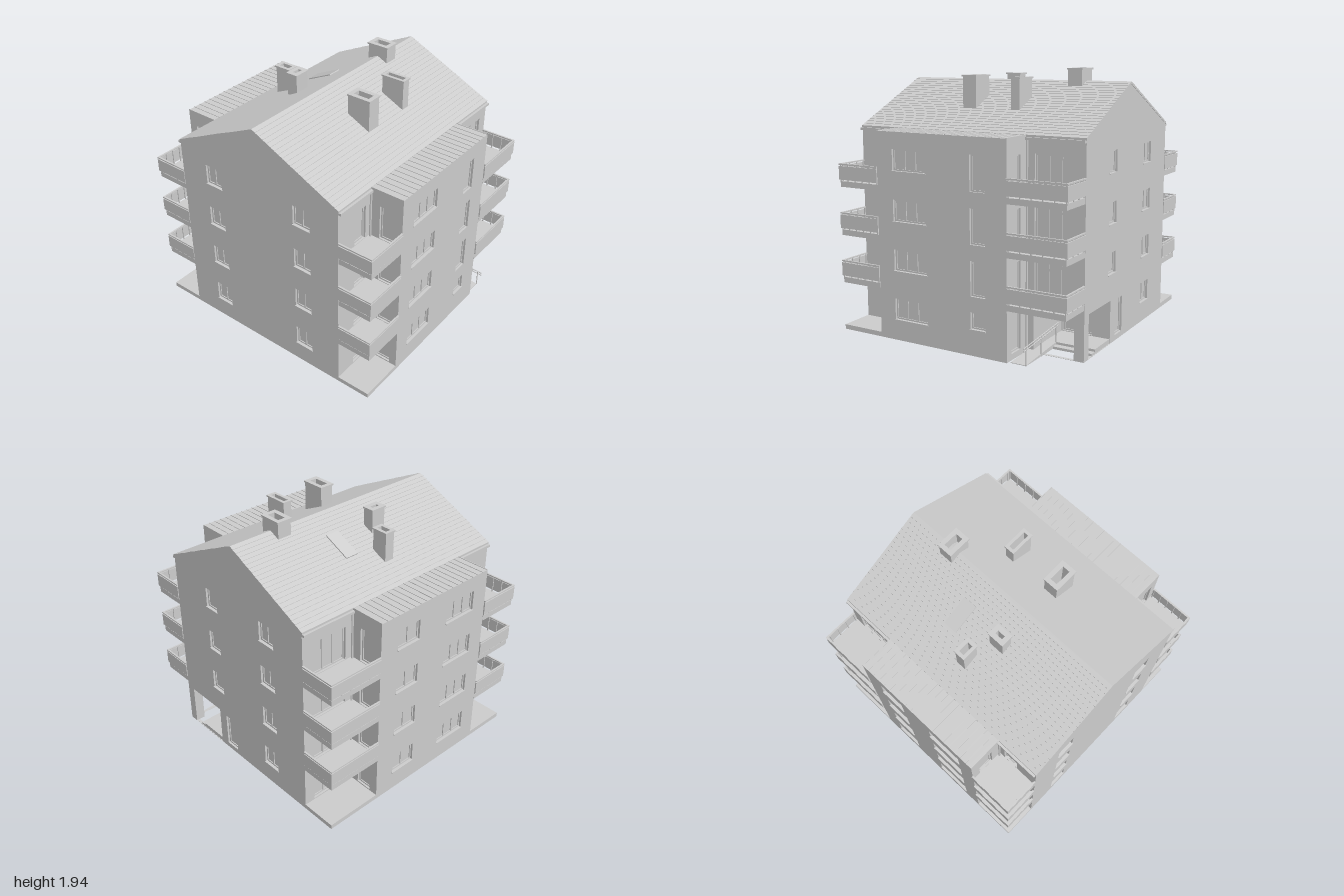
import * as THREE from 'three';

const MAT = new THREE.MeshStandardMaterial({ color: 0xcccccc, flatShading: true, side: THREE.DoubleSide });
const T = 0.025;                              // wall thickness
const XL = -0.93, XR = 0.925, ZM = 0.715;     // main block
const BL = -0.585, BR = 0.482;                // projecting bays
const ZF = 0.978, ZB = -0.988, EAVE = 1.51, RIDGE = 1.85;
const TOPS = [0.31, 0.67, 1.03, 1.39];        // window heads per storey
const FLOORS = [0.04, 0.405, 0.765, 1.125];

function add(parent, name, geometry) {
  const m = new THREE.Mesh(geometry, MAT);
  m.name = name;
  parent.add(m);
  return m;
}

// Box given by its minimum and maximum on each axis
function box(parent, name, x0, x1, y0, y1, z0, z1) {
  const m = add(parent, name, new THREE.BoxGeometry(Math.abs(x1 - x0), Math.abs(y1 - y0), Math.abs(z1 - z0)));
  m.position.set((x0 + x1) / 2, (y0 + y1) / 2, (z0 + z1) / 2);
  return m;
}

function rod(parent, name, a, b, r) {
  const p = new THREE.Vector3(...a), q = new THREE.Vector3(...b);
  const m = add(parent, name, new THREE.CylinderGeometry(r, r, p.distanceTo(q), 8));
  m.position.copy(p).add(q).multiplyScalar(0.5);
  m.quaternion.setFromUnitVectors(new THREE.Vector3(0, 1, 0), q.sub(p).normalize());
  return m;
}

function rectPath(Kind, x0, x1, y0, y1) {
  return new Kind([[x0, y0], [x1, y0], [x1, y1], [x0, y1]].map(p => new THREE.Vector2(...p)));
}

const SIDES = {
  front: { rot: 0, s: 1 }, back: { rot: Math.PI, s: -1 },
  right: { rot: Math.PI / 2, s: -1 }, left: { rot: -Math.PI / 2, s: 1 },
};

// Wall facing one side; openings are [start, end, bottom, top, panes], panes 0 = empty
function wall(parent, name, side, at, a, b, openings, gable = false, low = 0, high = EAVE) {
  const { rot, s } = SIDES[side];
  const g = new THREE.Group();
  g.name = name;
  g.rotation.y = rot;
  g.position.set(rot === 0 || side === 'back' ? 0 : at, 0, rot === 0 || side === 'back' ? at : 0);
  const u = (p, q) => [Math.min(s * p, s * q), Math.max(s * p, s * q)];
  const [u0, u1] = u(a, b);
  const pts = [[u0, low], [u1, low], [u1, high]];
  if (gable) pts.push([(u0 + u1) / 2, RIDGE - 0.005]);
  pts.push([u0, high]);
  const shape = new THREE.Shape(pts.map(p => new THREE.Vector2(...p)));
  for (const [p, q, y0, y1, panes] of openings) {
    const [x0, x1] = u(p, q);
    shape.holes.push(rectPath(THREE.Path, x0, x1, y0, y1));
    if (panes) windowUnit(g, x0, x1, y0, y1, panes);
  }
  add(g, 'wallPanel', new THREE.ExtrudeGeometry(shape, { depth: T, bevelEnabled: false }).translate(0, 0, -T));
  parent.add(g);
}

// Recessed glazing with frame, mullions and, above floor level, a sill
function windowUnit(g, x0, x1, y0, y1, panes) {
  const f = 0.011, w = (x1 - x0 - f) / panes;
  const frame = rectPath(THREE.Shape, x0, x1, y0, y1);
  for (let i = 0; i < panes; i++)
    frame.holes.push(rectPath(THREE.Path, x0 + f + i * w, x0 + (i + 1) * w, y0 + f, y1 - f));
  add(g, 'windowFrame', new THREE.ExtrudeGeometry(frame, { depth: 0.009, bevelEnabled: false }).translate(0, 0, -T));
  box(g, 'windowGlass', x0, x1, y0, y1, -T - 0.002, -T + 0.002);
  if (y1 - y0 < 0.2) box(g, 'windowSill', x0 - 0.004, x1 + 0.004, y0 - 0.007, y0, -T, 0.007);
}

const storeys = (a, b, h, panes) => TOPS.map(t => [a, b, t - h, t, panes]);
const doors = (a, b, panes) => TOPS.map((t, i) => [a, b, FLOORS[i] + 0.004, t, panes]);

// Balcony with slab, parapet panels, short posts and handrail
function balcony(parent, xi, xo, zi, zo, y) {
  const g = new THREE.Group();
  g.name = 'balcony';
  const sx = Math.sign(xo), sz = Math.sign(zo), t = 0.008;
  const xe = xo - sx * t, ze = zo - sz * t;
  box(g, 'balconySlab', xi, xe, y - 0.042, y, zi, ze);
  box(g, 'frontParapet', xi, xo, y + 0.012, y + 0.112, ze, zo);
  box(g, 'sideParapet', xe, xo, y + 0.012, y + 0.112, zi, ze);
  box(g, 'frontHandrail', xi, xo, y + 0.12, y + 0.13, zo - sz * 0.014, zo);
  box(g, 'sideHandrail', xe - sx * 0.006, xo, y + 0.12, y + 0.13, zi, ze);
  for (let i = 0; i <= 5; i++) {
    const x = xi + (xe - xi) * (i + 0.15) / 5.2;
    box(g, 'railPost', x - 0.004, x + 0.004, y - 0.02, y + 0.125, ze - sz * 0.008, ze);
  }
  for (let i = 0; i < 4; i++) {
    const z = zi + (ze - zi) * (i + 0.2) / 3.5;
    box(g, 'railPost', xe - sx * 0.008, xe, y - 0.02, y + 0.125, z - 0.004, z + 0.004);
  }
  parent.add(g);
}

// Hollow chimney with a slightly wider cap
function chimney(parent, x0, x1, z0, z1, base, top) {
  const g = new THREE.Group();
  g.name = 'chimney';
  const ring = (name, e, y0, y1) => {
    const s = rectPath(THREE.Shape, x0 - e, x1 + e, -z1 - e, -z0 + e);
    const i = (x1 - x0) * 0.26;
    s.holes.push(rectPath(THREE.Path, x0 + i, x1 - i, -z1 + i, -z0 - i));
    add(g, name, new THREE.ExtrudeGeometry(s, { depth: y1 - y0, bevelEnabled: false }).rotateX(-Math.PI / 2).translate(0, y0, 0));
  };
  ring('chimneyStack', -0.004, base, top - 0.012);
  ring('chimneyCap', 0.003, top - 0.012, top);
  parent.add(g);
}

// Gabled roof with shallow tile courses
function gableRoof(parent) {
  const n = 22, half = ZM + 0.006, up = [];
  const y = z => EAVE + (RIDGE - EAVE) * (1 - z / half);
  for (let i = 0; i < n; i++) {
    const z0 = half * (1 - i / n), z1 = half * (1 - (i + 1) / n);
    up.push([z0, y(z0) + 0.003], [z1, y(z1)]);
  }
  const outline = [...up, ...up.slice(0, -1).reverse().map(([z, h]) => [-z, h]), [-half, EAVE - 0.015], [0, RIDGE - 0.018], [half, EAVE - 0.015]];
  const s = new THREE.Shape(outline.map(p => new THREE.Vector2(...p)));
  const geo = new THREE.ExtrudeGeometry(s, { depth: XR - XL + 0.006, bevelEnabled: false });
  add(parent, 'gableRoof', geo.rotateY(-Math.PI / 2).translate(XR + 0.003, 0, 0));
}

export function createModel() {
  const model = new THREE.Group();
  model.name = 'apartmentBuilding';

  // Gable end walls, with the porch opening and side door on the right
  wall(model, 'leftGableWall', 'left', XL, -ZM, ZM, [...storeys(-0.475, -0.33, 0.155, 2), ...storeys(0.33, 0.475, 0.155, 2)], true);
  wall(model, 'rightGableWall', 'right', XR, -ZM, ZM, [
    ...storeys(-0.415, -0.265, 0.155, 2), ...storeys(0.215, 0.34, 0.155, 1).slice(1),
    [0.085, 0.21, 0.04, 0.305, 1], [0.29, 0.645, 0.002, 0.32, 0]], true);

  // Projecting bays and the recessed walls beside them
  const wide = storeys(-0.45, -0.165, 0.155, 3);
  wall(model, 'frontBayWall', 'front', ZF, BL, BR,
    [...wide, ...TOPS.map((t, i) => [0.195, 0.315, t - (i ? 0.25 : 0.12), t, 1])]);
  wall(model, 'backBayWall', 'back', ZB, BL, BR, [...wide, ...storeys(0.11, 0.32, 0.155, 2)]);
  for (const [side, zo] of [['front', ZF], ['back', ZB]]) {
    const sz = Math.sign(zo), zi = sz * ZM, front = sz > 0;
    wall(model, side + 'RecessWallLeft', side, zi, XL, BL, doors(-0.755, -0.635, 1));
    const big = doors(0.545, 0.84, 3);
    if (front) big[0] = [0.54, 0.85, 0.002, 0.32, 0];
    wall(model, side + 'RecessWallRight', side, zi, BR, XR, big);
    const sideDoors = doors(sz * 0.795, sz * 0.92, 1);
    wall(model, 'bayCheekRight', 'right', BR, zi, zo, sideDoors);
    wall(model, 'bayCheekLeft', 'left', BL, zi, zo, sideDoors);

    // Flat bay roof with standing seams
    box(model, 'bayRoof', BL, BR, EAVE - 0.014, EAVE, zi, zo);
    for (let i = 0; i <= 20; i++) {
      const x = BL + 0.003 + (BR - BL - 0.006) * i / 20;
      box(model, 'roofSeam', x - 0.003, x + 0.003, EAVE, EAVE + 0.004, zi, zo);
    }

    // Corner balconies, terraces, gutters and downpipes
    for (const [xi, xo] of [[BL, XL - 0.004], [BR, XR + 0.006]]) {
      const sx = Math.sign(xo);
      for (const y of FLOORS.slice(1)) balcony(model, xi, xo, zi, zo + sz * 0.01, y);
      if (!(front && sx > 0)) box(model, 'terrace', xi, sx > 0 ? XR : XL, 0, 0.035, zi, zo);
      box(model, 'gutter', xi, sx > 0 ? XR : XL, EAVE - 0.03, EAVE - 0.012, zi, zi + sz * 0.024);
      rod(model, 'downpipe', [xi + sx * 0.012, 0.0, zi + sz * 0.014], [xi + sx * 0.012, EAVE - 0.02, zi + sz * 0.014], 0.008);
    }
  }

  // Entrance porch cut into the front right corner
  wall(model, 'porchBackWall', 'front', 0.29, 0.54, XR, [[0.548, 0.785, 0.04, 0.3, 2]], false, 0, 0.32);
  wall(model, 'porchSideWall', 'right', 0.54, 0.29, ZM, [], false, 0, 0.32);
  box(model, 'porchCeiling', 0.54, XR - 0.001, 0.32, 0.33, 0.29, ZM - 0.001);
  box(model, 'porchColumn', 0.85, XR - 0.001, 0, 0.32, 0.645, ZM - 0.001);
  box(model, 'porchLanding', 0.54, XR - 0.005, 0, 0.035, 0.29, 0.53);
  box(model, 'porchStep', 0.62, XR - 0.005, 0, 0.018, 0.53, 0.58);

  // Access ramp and its handrail
  const ramp = new THREE.Shape([[0.53, 0], [0.96, 0], [0.96, 0.004], [0.53, 0.035]].map(p => new THREE.Vector2(...p)));
  add(model, 'ramp', new THREE.ExtrudeGeometry(ramp, { depth: 0.12, bevelEnabled: false }).rotateY(-Math.PI / 2).translate(0.62, 0, 0));
  for (const d of [0, -0.02]) rod(model, 'rampRail', [0.62, 0.13 + d, 0.995], [0.62, 0.17 + d, 0.5], 0.004);
  for (const z of [0.96, 0.75, 0.53]) rod(model, 'rampRailPost', [0.62, 0, z], [0.62, 0.13 + (0.995 - z) * 0.08, z], 0.004);

  // Roof, skylight and chimneys
  gableRoof(model);
  const light = box(model, 'skylight', 0.13, 0.24, -0.004, 0.004, -0.115, 0.115);
  light.position.set(0.185, 1.717, -0.295);
  light.rotation.x = -Math.atan2(RIDGE - EAVE, ZM);
  chimney(model, -0.22, -0.1, 0.24, 0.43, 1.64, 1.89);
  chimney(model, 0.187, 0.265, 0.24, 0.43, 1.64, 1.88);
  chimney(model, 0.465, 0.585, -0.088, 0.088, 1.8, 1.94);
  chimney(model, -0.227, -0.1, -0.305, -0.212, 1.69, 1.89);
  chimney(model, -0.09, -0.003, -0.535, -0.405, 1.59, 1.825);
  return model;
}
